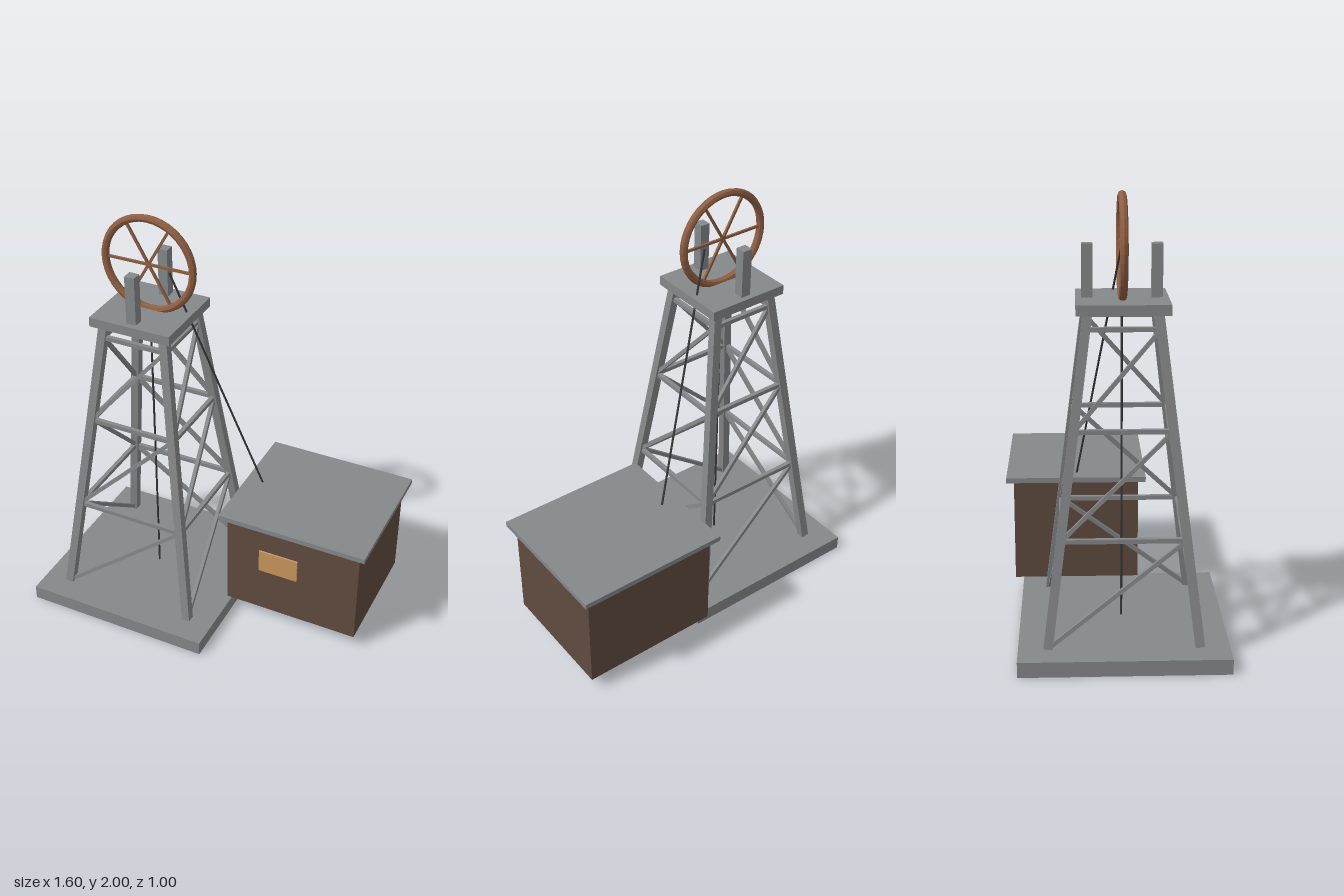
import * as THREE from 'three';

export function createModel() {
  const model = new THREE.Group();
  model.name = 'mineHeadframe';

  const material = (name, color) => {
    const m = new THREE.MeshStandardMaterial({ color });
    m.name = name;
    return m;
  };
  const steel = material('grey steel', 0x85888a);
  const rust = material('rust brown', 0x8f5f42);
  const timber = material('dark timber', 0x5f4b3f);
  const glow = material('window amber', 0xc8965a);
  const cable = material('dark cable', 0x36383a);

  const CX = -0.34, CZ = 0.038; // tower axis
  const BASE_TOP = 0.07, LEG_TOP = 1.51;

  const add = (name, geometry, mat, parent = model) => {
    const mesh = new THREE.Mesh(geometry, mat);
    mesh.name = name;
    parent.add(mesh);
    return mesh;
  };
  const box = (name, w, h, d, x, y, z, mat) => {
    const mesh = add(name, new THREE.BoxGeometry(w, h, d), mat);
    mesh.position.set(x, y, z);
    return mesh;
  };
  const UP = new THREE.Vector3(0, 1, 0);
  const span = (mesh, a, b) => {
    mesh.position.copy(a).add(b).multiplyScalar(0.5);
    mesh.quaternion.setFromUnitVectors(UP, b.clone().sub(a).normalize());
    return mesh;
  };
  // Square bar or round rod between two points
  const bar = (name, a, b, t, mat, parent) =>
    span(add(name, new THREE.BoxGeometry(t, a.distanceTo(b), t), mat, parent), a, b);
  const rod = (name, a, b, r, mat, parent) =>
    span(add(name, new THREE.CylinderGeometry(r, r, a.distanceTo(b), 8), mat, parent), a, b);

  // Foundation slab and head platform
  box('foundation', 0.92, BASE_TOP, 0.92, CX, BASE_TOP / 2, CZ, steel);
  box('headPlatform', 0.4, 0.045, 0.4, CX, 1.5275, CZ, steel);

  // Tapered tower; corners run counter-clockwise from front left
  const tower = new THREE.Group();
  tower.name = 'tower';
  model.add(tower);
  const corners = [[-1, 1], [1, 1], [1, -1], [-1, -1]];
  const legPoint = (i, y) => {
    const t = (y - BASE_TOP) / (LEG_TOP - BASE_TOP);
    const r = THREE.MathUtils.lerp(0.33, 0.15, t);
    const [sx, sz] = corners[i % 4];
    return new THREE.Vector3(CX + sx * r, y, CZ + sz * r);
  };
  const levels = [BASE_TOP, 0.54, 1.01, 1.44];
  for (let i = 0; i < 4; i++) {
    bar('leg', legPoint(i, BASE_TOP), legPoint(i, LEG_TOP), 0.04, steel, tower);
    for (let k = 1; k < levels.length; k++) {
      bar('crossBeam', legPoint(i, levels[k]), legPoint(i + 1, levels[k]), 0.02, steel, tower);
      bar('diagonalBrace', legPoint(i, levels[k - 1]), legPoint(i + 1, levels[k]), 0.018, steel, tower);
    }
  }

  // Bearing posts either side of the wheel
  for (const s of [-1, 1]) {
    box('bearingPost', 0.048, 0.23, 0.048, CX, 1.665, CZ + s * 0.15, steel);
  }

  // Winding wheel: faceted rim with three full-width spokes
  const wheel = new THREE.Group();
  wheel.name = 'windingWheel';
  wheel.position.set(CX, 1.764, CZ);
  model.add(wheel);
  const rim = new THREE.TorusGeometry(0.218, 0.018, 8, 40).toNonIndexed();
  rim.computeVertexNormals();
  add('rim', rim, rust, wheel);
  for (let i = 0; i < 3; i++) {
    const a = (i * Math.PI) / 3;
    const end = new THREE.Vector3(Math.cos(a), Math.sin(a), 0).multiplyScalar(0.215);
    bar('spoke', end.clone().negate(), end, 0.011, rust, wheel);
  }

  // Hoisting cables: down the shaft and across to the winding house
  rod('shaftCable', new THREE.Vector3(CX, BASE_TOP, CZ), new THREE.Vector3(CX, 1.54, CZ), 0.005, cable);
  rod('windingCable', new THREE.Vector3(-0.238, 1.745, CZ), new THREE.Vector3(0.145, 0.59, -0.16), 0.005, cable);

  // Winding house
  box('houseWalls', 0.67, 0.5, 0.6, 0.43, 0.32, -0.163, timber);
  box('houseRoof', 0.736, 0.025, 0.67, 0.43, 0.582, -0.163, steel);
  box('houseWindow', 0.197, 0.118, 0.0095, 0.364, 0.37, 0.1415, glow);

  return model;
}
